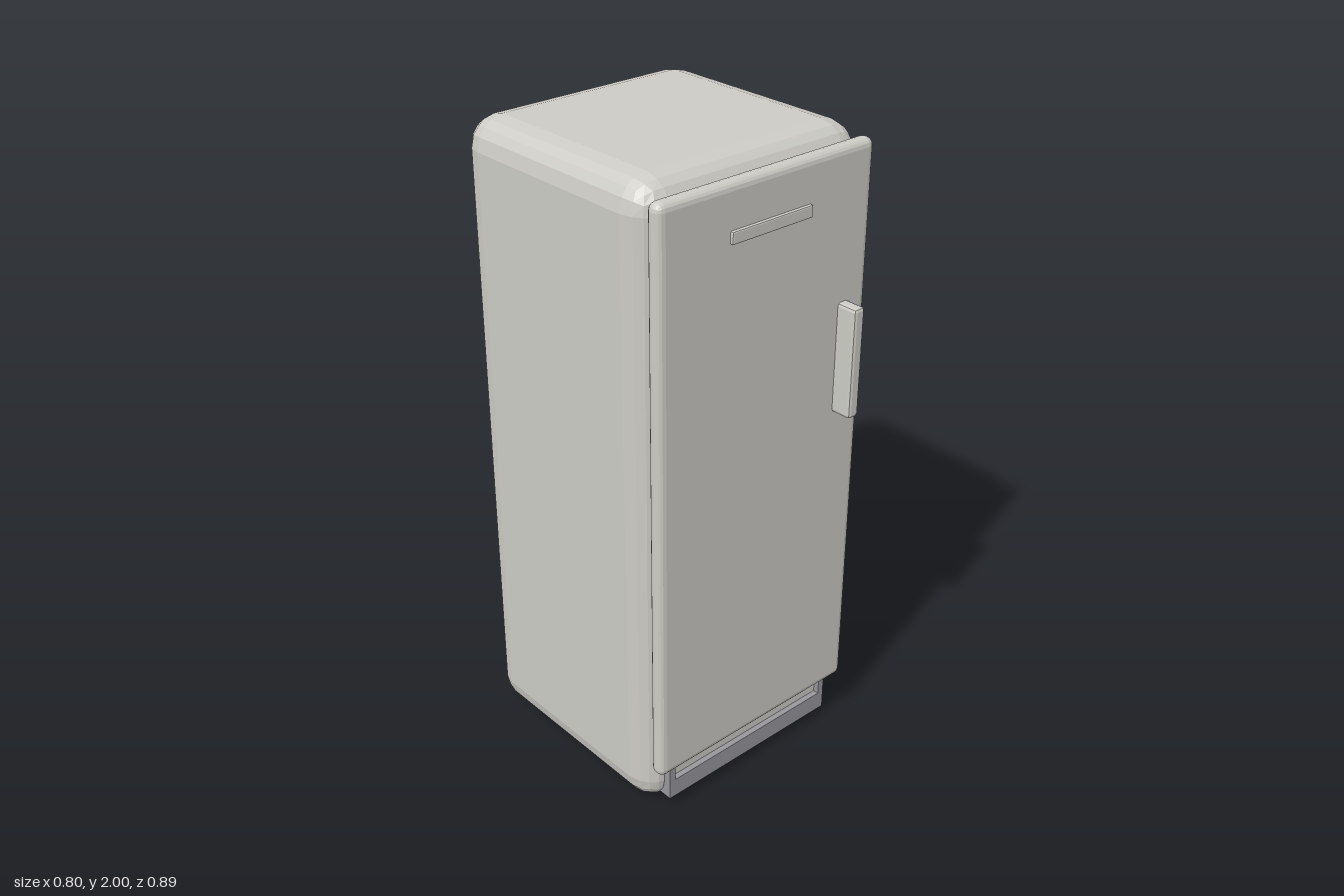
import * as THREE from 'three';
import { RoundedBoxGeometry } from 'three/addons/geometries/RoundedBoxGeometry.js';

const enamel = new THREE.MeshStandardMaterial({ name: 'warm grey enamel', color: 0xcccbc5 });
const kickGrey = new THREE.MeshStandardMaterial({ name: 'kick plate grey', color: 0x97979c });

// Box given by its min and max corners; a radius rounds its edges with flat facets
function block(name, material, min, max, radius = 0, segments = 2) {
  const size = max.map((v, i) => v - min[i]);
  const geometry = radius
    ? new RoundedBoxGeometry(...size, segments, radius)
    : new THREE.BoxGeometry(...size);
  if (radius) geometry.computeVertexNormals(); // non-indexed, so this gives flat facets
  const mesh = new THREE.Mesh(geometry, material);
  mesh.name = name;
  mesh.position.set(...min.map((v, i) => (v + max[i]) / 2));
  return mesh;
}

export function createModel() {
  const fridge = new THREE.Group();
  fridge.name = 'refrigerator';

  // Cabinet and door
  fridge.add(block('cabinet', enamel, [-0.4, 0, -0.445], [0.4, 2, 0.336], 0.09));
  fridge.add(block('door', enamel, [-0.387, 0.155, 0.327], [0.387, 1.965, 0.379], 0.024));

  // Door fittings
  fridge.add(block('trimBar', enamel, [-0.146, 1.8, 0.365], [0.144, 1.836, 0.389], 0.004, 1));
  fridge.add(block('doorHandle', enamel, [0.272, 1.165, 0.36], [0.312, 1.51, 0.445], 0.01, 1));

  // U-shaped kick plate under the door
  const kick = new THREE.Group();
  kick.name = 'kickPlate';
  kick.add(block('kickPanel', kickGrey, [-0.332, 0.032, 0.27], [0.332, 0.095, 0.355]));
  for (const [name, x] of [['kickTabRight', -0.321], ['kickTabLeft', 0.321]]) {
    kick.add(block(name, kickGrey, [x - 0.011, 0.095, 0.3], [x + 0.011, 0.142, 0.355]));
  }
  fridge.add(kick);

  return fridge;
}
